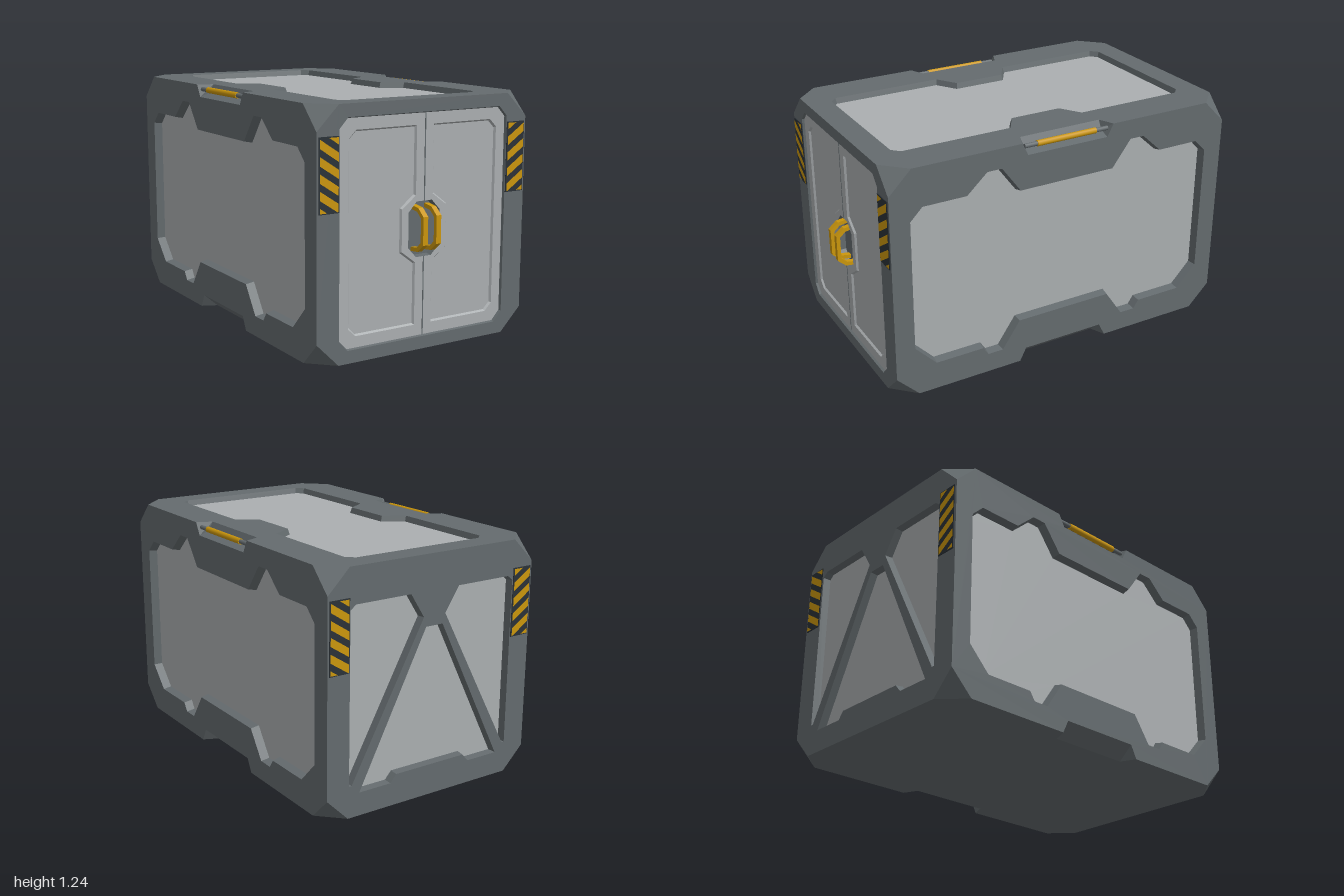
import * as THREE from 'three';

const mat = (name, color) =>
  new THREE.MeshStandardMaterial({ name, color, side: THREE.DoubleSide });
const W = 0.615, H = 1.235, L = 0.97, CUT = 0.12, ZC = -0.025;

// Complete a symmetric outline from its +x half
const mirror = (half) => [...half, ...[...half].reverse().map(([x, y]) => [-x, y])];
const flipX = (pts) => pts.map(([x, y]) => [-x, y]);
const vec2 = (pts) => pts.map(([x, y]) => new THREE.Vector2(x, y));
const ccw = (pts) => (THREE.ShapeUtils.area(vec2(pts)) < 0 ? [...pts].reverse() : pts);

// Shrink a counter-clockwise outline by d
function inset(pts, d) {
  const n = pts.length;
  const normal = (a, b) => new THREE.Vector2(a[1] - b[1], b[0] - a[0]).normalize();
  return pts.map((p, i) => {
    const a = normal(pts[(i + n - 1) % n], p), b = normal(p, pts[(i + 1) % n]);
    const k = d / (1 + a.dot(b));
    return [p[0] + (a.x + b.x) * k, p[1] + (a.y + b.y) * k];
  });
}

// Flat-shaded geometry from convex polygons
function polygons(list) {
  const out = [];
  for (const p of list)
    for (let i = 1; i < p.length - 1; i++) out.push(...p[0], ...p[i], ...p[i + 1]);
  const g = new THREE.BufferGeometry();
  g.setAttribute('position', new THREE.Float32BufferAttribute(out, 3));
  g.computeVertexNormals();
  return g;
}

function add(parent, name, geometry, material, x = 0, y = 0, z = 0) {
  const m = new THREE.Mesh(geometry, material);
  m.name = name;
  m.position.set(x, y, z);
  parent.add(m);
  return m;
}

function plate(parent, name, outline, holes, material, z = 0) {
  const s = new THREE.Shape(vec2(outline));
  s.holes = holes.map((h) => new THREE.Path(vec2(h)));
  return add(parent, name, new THREE.ShapeGeometry(s), material, 0, 0, z);
}

// Bevelled recess: sloping walls and a floor plate
function recess(parent, name, hole, z, slope, depth, wallMat, floorMat, floorHoles = []) {
  const p = ccw(hole), q = inset(p, slope), n = p.length;
  const walls = p.map((a, i) => {
    const j = (i + 1) % n;
    return [[...a, z], [...p[j], z], [...q[j], z - depth], [...q[i], z - depth]];
  });
  add(parent, name + 'Rim', polygons(walls), wallMat);
  plate(parent, name, q, floorHoles, floorMat, z - depth);
}

// Keep the part of a polygon where sign * (y - limit) >= 0
function clipY(pts, limit, sign) {
  const out = [];
  pts.forEach((a, i) => {
    const b = pts[(i + 1) % pts.length];
    const da = sign * (a[1] - limit), db = sign * (b[1] - limit);
    if (da >= 0) out.push(a);
    if (da * db < 0) out.push([a[0] + (b[0] - a[0]) * da / (da - db), limit]);
  });
  return out;
}

export function createModel() {
  const root = new THREE.Group();
  root.name = 'cargoContainer';
  const frame = mat('frameGrey', 0x646b6e);
  const panel = mat('panelGrey', 0xabafb1);
  const yellow = mat('safetyYellow', 0xcb960c);
  const black = mat('stripeBlack', 0x2b3238);

  const side = (name, x, y, z, rx, ry) => {
    const g = new THREE.Group();
    g.name = name;
    g.position.set(x, y, z);
    g.rotation.set(rx, ry, 0);
    root.add(g);
    return g;
  };

  // Hazard plates on the upper corners of an end
  function hazardPlates(g) {
    const x0 = 0.5, x1 = 0.601, y0 = 0.74, y1 = 1.086, drop = 0.066;
    for (const s of [-1, 1]) {
      add(g, 'hazardPlate', new THREE.BoxGeometry(0.11, 0.356, 0.006), black, s * 0.55, 0.913, 0.001);
      for (let k = 0; k < 6; k++) {
        const t = 0.766 + k * 0.079, b = t - 0.043;
        let band = [[x1, t], [x1, b], [x0, b - drop], [x0, t - drop]];
        band = clipY(clipY(band, y0, 1), y1, -1);
        if (band.length > 2) plate(g, 'hazardStripe', s > 0 ? band : flipX(band), [], yellow, 0.006);
      }
    }
  }

  const endOutline = mirror([[W - CUT, H], [W, H - CUT], [W, CUT], [W - CUT, 0]]);

  // Front end with double doors
  const front = side('frontEnd', 0, 0, ZC + L, 0, 0);
  const doorway = mirror([[0.445, 1.172], [0.492, 1.122], [0.492, 0.115], [0.445, 0.064]]);
  const doorPanel = [[0.05, 1.11], [0.395, 1.11], [0.435, 1.07], [0.435, 0.165], [0.395, 0.125],
    [0.05, 0.125], [0.05, 0.44], [0.13, 0.5], [0.13, 0.71], [0.05, 0.77]];
  const gripWell = mirror([[0.045, 0.74], [0.092, 0.69], [0.092, 0.515], [0.045, 0.465]]);
  plate(front, 'frontFrame', endOutline, [doorway], frame);
  recess(front, 'doors', doorway, 0, 0.005, 0.012, frame, panel, [doorPanel, flipX(doorPanel), gripWell]);
  for (const p of [doorPanel, flipX(doorPanel)])
    recess(front, 'doorPanel', p, -0.012, 0.008, 0.01, panel, panel);
  recess(front, 'gripWell', gripWell, -0.012, 0.004, 0.035, frame, frame);
  for (const [a, b] of [[0.07, 0.465], [0.74, 1.167]])
    add(front, 'doorSeam', new THREE.BoxGeometry(0.006, b - a, 0.002), frame, 0, (a + b) / 2, -0.0115);

  // Door handles, profile in (depth, height)
  const outer = [[-0.047, 0.72], [0.012, 0.712], [0.055, 0.675], [0.055, 0.535], [0.012, 0.497], [-0.047, 0.49]];
  const inner = [[-0.047, 0.51], [0.004, 0.517], [0.035, 0.545], [0.035, 0.665], [0.004, 0.692], [-0.047, 0.7]];
  const grip = new THREE.ExtrudeGeometry(new THREE.Shape(vec2([...outer, ...inner])),
    { depth: 0.028, bevelEnabled: false });
  grip.translate(0, 0, -0.014).rotateY(-Math.PI / 2);
  for (const s of [-1, 1]) add(front, 'doorHandle', grip, yellow, s * 0.039, 0, 0);
  hazardPlates(front);

  // Back end with diagonal braces
  const back = side('backEnd', 0, 0, ZC - L, 0, Math.PI);
  const middle = mirror([[0.05, 0.88], [0.43, 0.12], [0.245, 0.12], [0.21, 0.16]]);
  const wedge = [[0.145, 1.055], [0.46, 1.055], [0.49, 1.03], [0.49, 0.165], [0.475, 0.165], [0.065, 0.93]];
  const bays = [middle, wedge, flipX(wedge)];
  plate(back, 'backFrame', endOutline, bays, frame);
  bays.forEach((b) => recess(back, 'backPanel', b, 0, 0.005, 0.04, frame, panel));
  hazardPlates(back);

  // Long sides with edge notches and lift bars
  const sideOutline = mirror([[0.23, 1.17], [0.265, H], [L - CUT, H], [L, H - CUT], [L, CUT],
    [L - CUT, 0], [0.265, 0], [0.23, 0.07]]);
  const sideHole = mirror([[0.27, 0.99], [0.375, 1.13], [0.455, 1.13], [0.565, 1.03], [0.8, 1.03],
    [0.865, 0.965], [0.865, 0.27], [0.75, 0.15], [0.485, 0.15], [0.455, 0.105], [0.37, 0.105], [0.27, 0.25]]);
  const a = 0.23, b = 0.265;
  const notches = [
    [[-a, 1.17, 0], [a, 1.17, 0], [a, 1.19, -0.055], [-a, 1.19, -0.055]],
    [[-a, 1.19, -0.055], [a, 1.19, -0.055], [a, H, -0.08], [-a, H, -0.08]],
    [[-a, 0, -0.08], [a, 0, -0.08], [a, 0.07, 0], [-a, 0.07, 0]],
  ];
  for (const s of [-1, 1]) {
    const top = [[s * b, H, 0], [s * a, H, -0.08], [s * a, 1.19, -0.055], [s * a, 1.17, 0]];
    const low = [[s * b, 0, 0], [s * a, 0.07, 0], [s * a, 0, -0.08]];
    notches.push(...[top, low].map((p) => (s > 0 ? p : p.reverse())));
  }
  for (const s of [-1, 1]) {
    const g = side(s > 0 ? 'leftSide' : 'rightSide', s * W, 0, ZC, 0, s * Math.PI / 2);
    plate(g, 'sideFrame', sideOutline, [sideHole], frame);
    recess(g, 'sidePanel', sideHole, 0, 0.009, 0.045, frame, panel);
    add(g, 'edgeNotches', polygons(notches), frame);
    add(g, 'liftBarCore', new THREE.CylinderGeometry(0.012, 0.012, 0.48, 8), frame, 0, 1.211, -0.02).rotation.z = Math.PI / 2;
    add(g, 'liftBar', new THREE.CylinderGeometry(0.016, 0.016, 0.34, 8), yellow, 0, 1.211, -0.02).rotation.z = Math.PI / 2;
  }

  // Roof and floor
  const lidOutline = mirror([[W - CUT, L], [W, L - CUT], [W, b], [W - 0.08, a],
    [W - 0.08, -a], [W, -b], [W, CUT - L], [W - CUT, -L]]);
  const lidHole = mirror([[0.37, 0.842], [0.41, 0.805], [0.41, 0.21], [0.3, 0.14],
    [0.3, -0.14], [0.41, -0.21], [0.41, -0.805], [0.37, -0.842]]);
  const roof = side('roof', 0, H, ZC, -Math.PI / 2, 0);
  plate(roof, 'roofFrame', lidOutline, [lidHole], frame);
  recess(roof, 'roofPanel', lidHole, 0, 0.009, 0.03, frame, panel);
  plate(side('floor', 0, 0, ZC, Math.PI / 2, 0), 'floorPlate', lidOutline, [], frame);

  // Cut corners
  const corners = [];
  for (const x of [-1, 1]) for (const y of [-1, 1]) for (const z of [-1, 1]) {
    const X = x * W, Y = H / 2 + y * H / 2, Z = ZC + z * L;
    const t = [[X - x * CUT, Y, Z], [X, Y - y * CUT, Z], [X, Y, Z - z * CUT]];
    // Corner points run outward-facing when the sign product is positive
    corners.push(x * y * z > 0 ? t : t.reverse());
  }
  add(root, 'cutCorners', polygons(corners), frame);
  return root;
}
